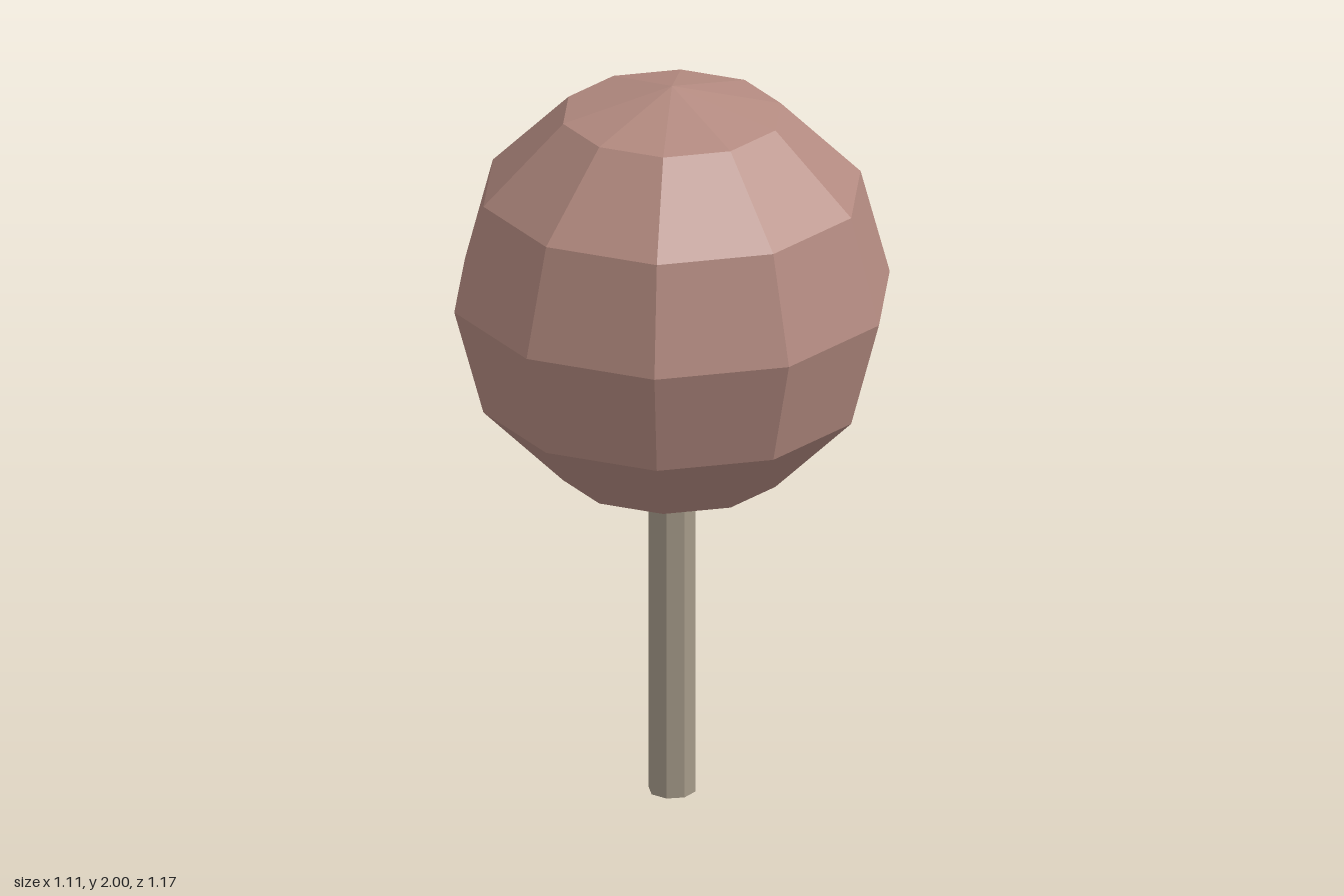
import * as THREE from 'three';

export function createModel() {
  const tree = new THREE.Group();
  tree.name = 'tree';

  const foliage = new THREE.MeshStandardMaterial({ color: 0xb38a80, flatShading: true });
  foliage.name = 'dusty rose foliage';
  const bark = new THREE.MeshStandardMaterial({ color: 0xa59a89, flatShading: true });
  bark.name = 'grey brown bark';

  // Faceted ball crown, turned so corners point to the front and back
  const radius = 0.585;
  const crown = new THREE.Mesh(new THREE.SphereGeometry(radius, 10, 6).rotateY(Math.PI / 2), foliage);
  crown.name = 'crown';
  crown.position.y = 2 - radius;

  // Eight-sided trunk, its top end tucked into the crown
  const trunkHeight = 0.9;
  const trunk = new THREE.Mesh(new THREE.CylinderGeometry(0.0625, 0.0625, trunkHeight, 8), bark);
  trunk.name = 'trunk';
  trunk.position.y = trunkHeight / 2;

  tree.add(crown, trunk);
  return tree;
}
